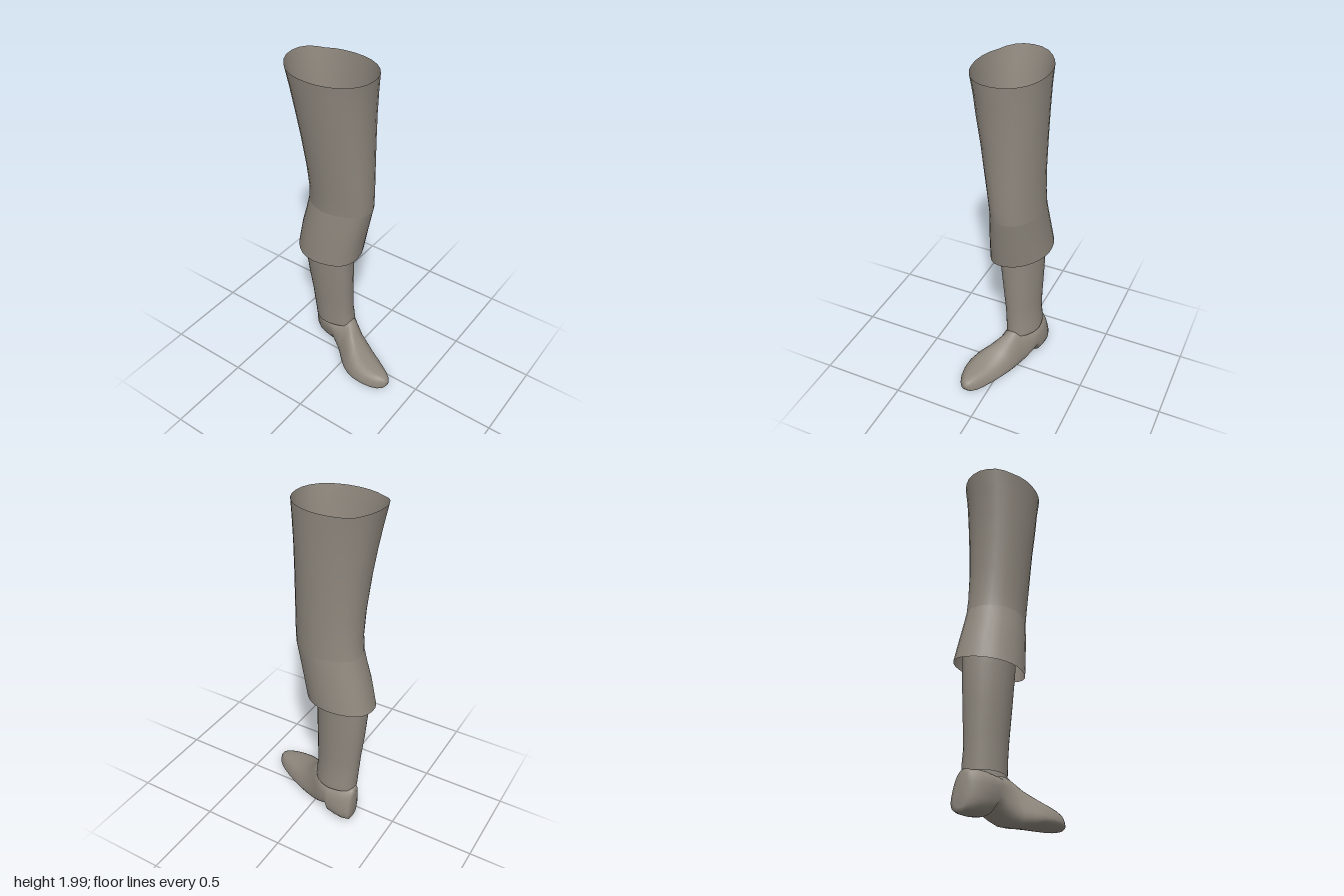
import * as THREE from 'three';

const cloth = new THREE.MeshStandardMaterial({ color: 0x8f887e, side: THREE.DoubleSide });
cloth.name = 'warmGrey';

const SEG = 28;
const { lerp } = THREE.MathUtils;
const power = (v, p) => Math.sign(v) * Math.pow(Math.abs(v), p);

// Skin a list of rings (arrays of Vector3), optionally closing both ends.
function loft(name, rings, closed = false) {
  const pos = [], index = [];
  rings.forEach(r => r.forEach(p => pos.push(p.x, p.y, p.z)));
  for (let i = 0; i < rings.length - 1; i++) {
    for (let j = 0; j < SEG; j++) {
      const k = (j + 1) % SEG;
      const a = i * SEG + j, b = i * SEG + k, c = a + SEG, d = b + SEG;
      index.push(a, b, c, b, d, c);
    }
  }
  if (closed) {
    [0, rings.length - 1].forEach(i => {
      const mid = new THREE.Vector3();
      rings[i].forEach(p => mid.addScaledVector(p, 1 / SEG));
      const m = pos.length / 3;
      pos.push(mid.x, mid.y, mid.z);
      for (let j = 0; j < SEG; j++) {
        const a = i * SEG + j, b = i * SEG + (j + 1) % SEG;
        if (i === 0) index.push(m, b, a);
        else index.push(m, a, b);
      }
    });
  }
  const geo = new THREE.BufferGeometry();
  geo.setAttribute('position', new THREE.Float32BufferAttribute(pos, 3));
  geo.setIndex(index);
  geo.computeVertexNormals();
  const mesh = new THREE.Mesh(geo, cloth);
  mesh.name = name;
  return mesh;
}

// Horizontal ring: y, x range, z range, sideways shift of the back against the front, front taper.
function legRing([y, x0, x1, z0, z1, skew = 0, taper = 0], bend = () => 0) {
  return Array.from({ length: SEG }, (_, j) => {
    const t = (j / SEG) * Math.PI * 2;
    const s = Math.sin(t), c = Math.cos(t);
    const narrow = 1 - taper * Math.max(0, s) * Math.abs(c);
    const x = (x0 + x1) / 2 + (x1 - x0) / 2 * power(c, 0.92) * narrow - skew * s * Math.abs(s);
    const z = (z0 + z1) / 2 + (z1 - z0) / 2 * power(s, 0.95);
    return new THREE.Vector3(x, y + bend(x, z), z);
  });
}

// Upright ring across the foot: z, x range at the sole, x range at the top, y range.
function footRing([z, b0, b1, t0, t1, y0, y1]) {
  return Array.from({ length: SEG }, (_, j) => {
    const t = (j / SEG) * Math.PI * 2;
    const s = Math.sin(t), h = (power(s, 0.75) + 1) / 2;
    const u = (power(Math.cos(t), 0.75) + 1) / 2;
    return new THREE.Vector3(lerp(lerp(b0, t0, h), lerp(b1, t1, h), u), lerp(y0, y1, h), z);
  });
}

export function createModel() {
  const model = new THREE.Group();
  model.name = 'bootedLeg';

  // Trouser leg, open at waist side and hem, with a soft crease at the knee
  const knee = [1.16, -0.113, 0.187, -0.275, 0.122, 0.01, 0.16];
  const rim = (x, z) => 0.02 * Math.max(0, (-z - 0.26) / 0.09);
  const thigh = [
    [1.98, -0.21, 0.19, -0.352, 0.157, 0.005, 0],
    [1.88, -0.196, 0.187, -0.327, 0.145],
    [1.75, -0.181, 0.185, -0.305, 0.136],
    [1.6, -0.161, 0.184, -0.285, 0.13, 0, 0.05],
    [1.4, -0.136, 0.182, -0.268, 0.128, 0.005, 0.1],
    [1.25, -0.118, 0.184, -0.266, 0.127, 0.01, 0.15],
    knee,
  ].map((r, i) => legRing(r, i ? undefined : rim));
  model.add(loft('trouserThigh', thigh));

  const hem = x => 0.13 * (x - 0.03);
  const lower = [
    knee,
    [1.08, -0.122, 0.192, -0.295, 0.107, 0.015, 0.16],
    [0.97, -0.132, 0.199, -0.327, 0.084, 0.02, 0.12],
    [0.825, -0.14, 0.208, -0.36, 0.056, 0.025, 0.08],
  ].map((r, i) => legRing(r, i === 3 ? hem : undefined));
  model.add(loft('trouserLower', lower));

  // Boot shaft, open at the top inside the trouser
  const shaft = [
    [0.95, -0.108, 0.165, -0.315, 0, 0.015, 0.15],
    [0.8, -0.096, 0.161, -0.32, -0.002, 0.015, 0.15],
    [0.6, -0.074, 0.156, -0.306, -0.008, 0.015, 0.15],
    [0.45, -0.056, 0.152, -0.291, -0.013, 0.015, 0.15],
    [0.35, -0.048, 0.153, -0.284, -0.015, 0.015, 0.15],
    [0.28, -0.044, 0.163, -0.28, -0.01, 0.015, 0.15],
    [0.245, -0.042, 0.163, -0.278, -0.008, 0.015, 0.15],
  ].map(r => legRing(r));
  model.add(loft('bootShaft', shaft));

  // Boot foot from the heel to the toe, turned outward
  const foot = [
    [-0.292, 0.075, 0.165, 0.07, 0.12, 0.06, 0.235],
    [-0.282, 0.05, 0.19, 0.045, 0.14, 0.04, 0.255],
    [-0.24, 0.025, 0.2, 0, 0.162, 0.035, 0.26],
    [-0.19, 0.012, 0.196, -0.03, 0.168, 0.035, 0.257],
    [-0.138, 0, 0.186, -0.042, 0.168, 0.04, 0.252],
    [-0.12, -0.015, 0.176, -0.042, 0.165, 0.08, 0.25],
    [-0.08, -0.045, 0.162, -0.036, 0.15, 0.055, 0.25],
    [-0.035, -0.085, 0.145, -0.02, 0.118, 0.025, 0.268],
    [0, -0.125, 0.13, -0.012, 0.085, 0.006, 0.27],
    [0.05, -0.165, 0.112, -0.065, 0.062, 0.006, 0.213],
    [0.1, -0.188, 0.095, -0.12, 0.045, 0.012, 0.174],
    [0.16, -0.199, 0.068, -0.155, 0.015, 0.016, 0.147],
    [0.22, -0.199, 0.035, -0.165, -0.01, 0.018, 0.133],
    [0.28, -0.187, -0.004, -0.16, -0.04, 0.02, 0.124],
    [0.32, -0.169, -0.034, -0.148, -0.06, 0.024, 0.116],
    [0.348, -0.145, -0.065, -0.135, -0.08, 0.036, 0.104],
    [0.361, -0.124, -0.092, -0.12, -0.098, 0.055, 0.085],
  ].map(footRing);
  model.add(loft('bootFoot', foot, true));

  return model;
}
